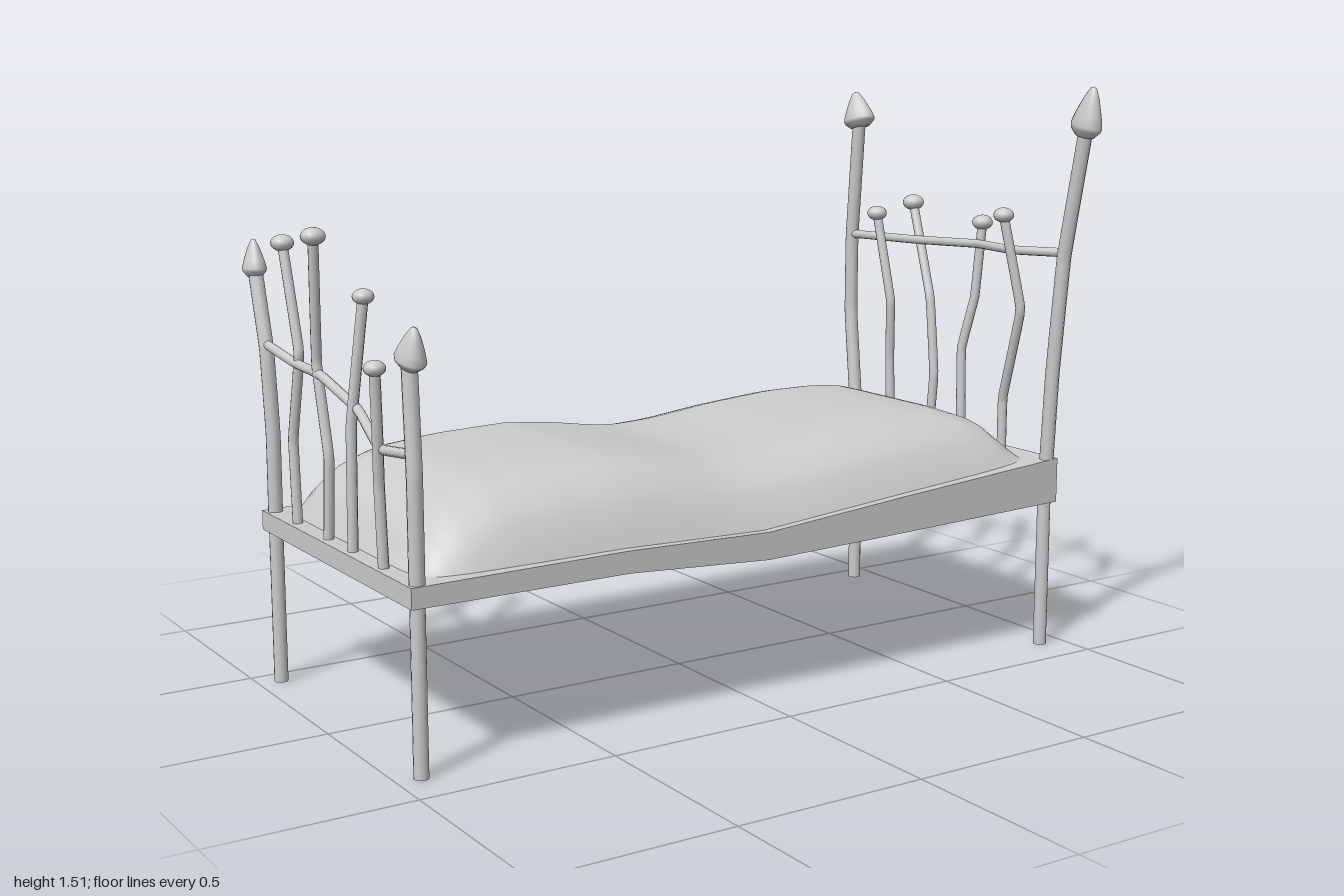
import * as THREE from 'three';

const grey = new THREE.MeshStandardMaterial({ color: 0xcccccc });
const flat = new THREE.MeshStandardMaterial({ color: 0xcccccc, flatShading: true });
const soft = new THREE.MeshStandardMaterial({ color: 0xcccccc, side: THREE.DoubleSide });

// Linear interpolation through [position, value] pairs
function sample(pairs, t) {
  if (t <= pairs[0][0]) return pairs[0][1];
  for (let i = 1; i < pairs.length; i++) {
    const [a, va] = pairs[i - 1], [b, vb] = pairs[i];
    if (t <= b) return va + (vb - va) * (t - a) / (b - a);
  }
  return pairs[pairs.length - 1][1];
}

const bedTop = [[-0.965, 0.45], [-0.4, 0.455], [0, 0.445], [0.42, 0.48], [0.953, 0.52]];
const bedBottom = [[-0.965, 0.4], [-0.4, 0.4], [0, 0.375], [0.42, 0.385], [0.953, 0.4]];

// Crooked rod with nearly straight runs between its points
function rod(name, points, radius) {
  const curve = new THREE.CatmullRomCurve3(
    points.map(p => new THREE.Vector3(...p)), false, 'catmullrom', 0.08);
  const mesh = new THREE.Mesh(new THREE.TubeGeometry(curve, 32, radius, 10), grey);
  mesh.name = name;
  return mesh;
}

// Flattened arrowhead finial from base to tip
function finial(base, tip, width) {
  const h = Math.hypot(tip[1] - base[1], tip[2] - base[2]);
  const profile = [[0, 0], [0.6, 0.0], [0.95, 0.14], [1, 0.22], [0.85, 0.42], [0.5, 0.76], [0.2, 0.97], [0, 1]]
    .map(([r, y]) => new THREE.Vector2(r * width, y * h));
  const mesh = new THREE.Mesh(new THREE.LatheGeometry(profile, 14), grey);
  mesh.scale.x = 0.75;
  mesh.rotation.x = Math.atan2(tip[2] - base[2], tip[1] - base[1]);
  mesh.position.set(...base);
  mesh.name = 'finial';
  return mesh;
}

// Thin spindle topped with a squashed knob
function spindle(points, knobRadius) {
  const g = new THREE.Group();
  g.name = 'spindle';
  const knob = new THREE.Mesh(new THREE.SphereGeometry(knobRadius, 14, 10), grey);
  knob.name = 'knob';
  knob.scale.y = 0.72;
  knob.position.set(...points[points.length - 1]);
  g.add(rod('spindleRod', points, 0.013), knob);
  return g;
}

function bedFrame() {
  const geo = new THREE.BoxGeometry(2, 2, 2, 4, 1, 1);
  const p = geo.attributes.position;
  const xs = [-0.965, -0.4, 0, 0.42, 0.953];
  for (let i = 0; i < p.count; i++) {
    const k = Math.round((p.getX(i) + 1) * 2);
    const bulge = [0, 0.006, 0.01, 0.008, 0][k];
    const y = sample(p.getY(i) > 0 ? bedTop : bedBottom, xs[k]);
    p.setXYZ(i, xs[k], y, p.getZ(i) > 0 ? 0.408 : -0.468 - bulge);
  }
  geo.computeVertexNormals();
  const mesh = new THREE.Mesh(geo, flat);
  mesh.name = 'bedFrame';
  return mesh;
}

function mattress() {
  const crown = [[-0.92, 0.45], [-0.87, 0.53], [-0.8, 0.585], [-0.7, 0.622], [-0.55, 0.637],
    [-0.35, 0.643], [-0.2, 0.627], [-0.08, 0.607], [0, 0.602], [0.12, 0.608], [0.3, 0.63], [0.5, 0.646],
    [0.65, 0.646], [0.75, 0.638], [0.82, 0.612], [0.87, 0.558], [0.905, 0.515]];
  const section = [[-1, 0], [-0.95, 0.28], [-0.88, 0.62], [-0.78, 0.9], [-0.65, 0.99], [-0.4, 1],
    [0.3, 1], [0.55, 0.96], [0.7, 0.85], [0.85, 0.6], [0.94, 0.28], [1, 0]];
  const geo = new THREE.PlaneGeometry(2, 2, 56, 32);
  geo.rotateX(-Math.PI / 2);
  const p = geo.attributes.position;
  for (let i = 0; i < p.count; i++) {
    // Crowd the grid toward the rims
    const u = Math.sin(p.getX(i) * Math.PI / 2), v = Math.sin(p.getZ(i) * Math.PI / 2);
    const x = -0.0075 + u * 0.9125 * (1 - 0.015 * v ** 8);
    const half = 0.42 - 0.012 * u * u - 0.025 * u ** 16;
    const base = sample(bedTop, x) - 0.003;
    const y = base + Math.max(0, sample(crown, -0.0075 + u * 0.9125) - base) * sample(section, v);
    p.setXYZ(i, x, y, -0.034 + v * half);
  }
  geo.computeVertexNormals();
  const mesh = new THREE.Mesh(geo, soft);
  mesh.name = 'mattress';
  return mesh;
}

export function createModel() {
  const model = new THREE.Group();
  model.name = 'bed';
  model.add(bedFrame(), mattress());

  // Straight legs
  for (const x of [-0.94, 0.93]) for (const z of [0.385, -0.44]) {
    const leg = new THREE.Mesh(new THREE.CylinderGeometry(0.018, 0.018, 0.42, 12), grey);
    leg.position.set(x, 0.21, z);
    leg.name = 'leg';
    model.add(leg);
  }

  // Taller end
  const head = new THREE.Group();
  head.name = 'headboard';
  head.add(
    rod('post', [[0.93, 0.42, 0.385], [0.93, 0.75, 0.402], [0.932, 1.07, 0.43], [0.93, 1.41, 0.498]], 0.019),
    rod('post', [[0.93, 0.42, -0.44], [0.93, 0.54, -0.445], [0.935, 0.82, -0.482], [0.932, 1.05, -0.478], [0.925, 1.4, -0.442]], 0.019),
    finial([0.928, 1.388, 0.493], [0.928, 1.515, 0.523], 0.047),
    finial([0.925, 1.375, -0.437], [0.925, 1.477, -0.463], 0.054),
    rod('rail', [[0.93, 1.08, 0.43], [0.895, 1.075, 0.27], [0.955, 1.07, 0.06], [0.945, 1.06, -0.2], [0.93, 1.055, -0.478]], 0.012),
    spindle([[0.93, 0.46, 0.21], [0.93, 0.66, 0.21], [0.905, 0.915, 0.298], [0.865, 1.17, 0.265]], 0.028),
    spindle([[0.93, 0.46, 0.04], [0.935, 0.77, 0.027], [0.955, 0.92, 0.055], [0.968, 1.13, 0.065]], 0.029),
    spindle([[0.93, 0.46, -0.105], [0.935, 0.68, -0.09], [0.94, 0.9, -0.12], [0.966, 1.165, -0.235]], 0.031),
    spindle([[0.93, 0.46, -0.275], [0.925, 0.7, -0.28], [0.91, 0.88, -0.263], [0.9, 1.13, -0.32]], 0.029));

  // Lower end
  const foot = new THREE.Group();
  foot.name = 'footboard';
  foot.add(
    rod('post', [[-0.94, 0.42, 0.385], [-0.945, 0.7, 0.395], [-0.942, 0.95, 0.375]], 0.019),
    rod('post', [[-0.94, 0.42, -0.44], [-0.94, 0.65, -0.438], [-0.945, 0.87, -0.45], [-0.945, 1.06, -0.508]], 0.019),
    finial([-0.94, 0.935, 0.372], [-0.94, 1.027, 0.402], 0.046),
    finial([-0.945, 1.045, -0.512], [-0.945, 1.14, -0.516], 0.04),
    rod('rail', [[-0.945, 0.745, 0.392], [-0.95, 0.73, 0.23], [-0.925, 0.79, 0.06], [-0.945, 0.85, -0.11], [-0.94, 0.855, -0.28], [-0.945, 0.88, -0.45]], 0.012),
    spindle([[-0.94, 0.4, 0.215], [-0.95, 0.64, 0.22], [-0.96, 0.76, 0.24], [-0.972, 0.92, 0.26]], 0.026),
    spindle([[-0.94, 0.4, 0.04], [-0.935, 0.75, 0.04], [-0.91, 1.055, 0.07]], 0.026),
    spindle([[-0.94, 0.4, -0.105], [-0.94, 0.65, -0.085], [-0.945, 0.87, -0.13], [-0.97, 1.185, -0.07]], 0.03),
    spindle([[-0.94, 0.4, -0.29], [-0.94, 0.66, -0.305], [-0.935, 0.88, -0.262], [-0.94, 1.145, -0.335]], 0.029));

  model.add(head, foot);
  return model;
}
